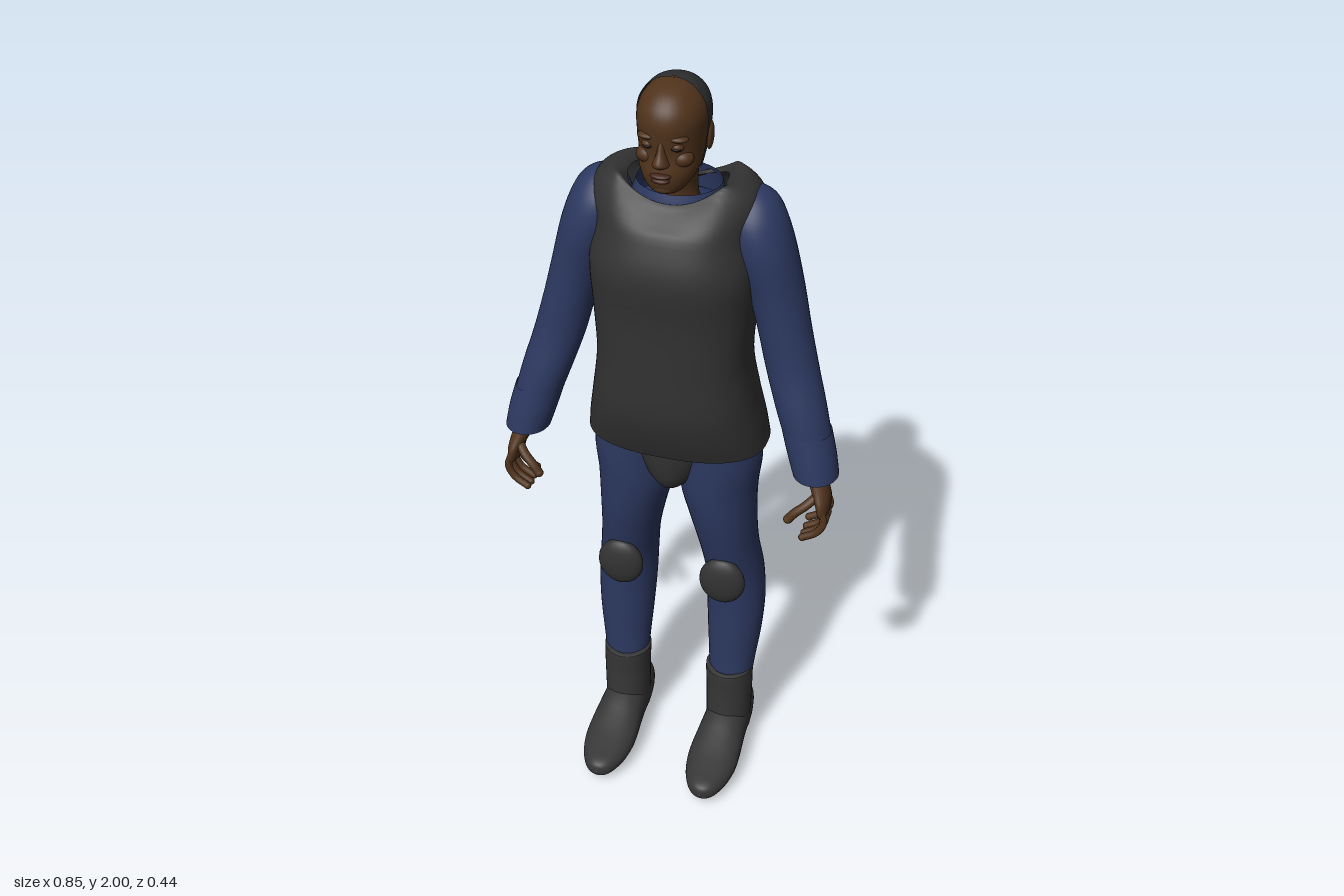
import * as THREE from 'three';

const mat = (name, color, side = THREE.FrontSide) => {
  const m = new THREE.MeshStandardMaterial({ color, side });
  m.name = name;
  return m;
};

// Smooth surface through sections [t, centreX, radiusX, zFront, zBack].
// square < 1 makes the rings boxier; from/to limit the angle (0 is the front).
function loft(sections, { square = 1, from = 0, to = Math.PI * 2, seg = 36, steps = 5, rule } = {}) {
  const rows = [];
  const at = (i) => sections[Math.max(0, Math.min(sections.length - 1, i))];
  for (let i = 0; i < sections.length - 1; i++) {
    for (let k = 0; k < steps; k++) {
      const u = k / steps;
      rows.push(at(i).map((p1, d) => {
        const p0 = at(i - 1)[d], p2 = at(i + 1)[d], p3 = at(i + 2)[d];
        return p1 + 0.5 * u * (p2 - p0 + u * (2 * p0 - 5 * p1 + 4 * p2 - p3 + u * (3 * (p1 - p2) + p3 - p0)));
      }));
    }
  }
  rows.push(sections[sections.length - 1]);
  const closed = to - from > 6.28;
  const cols = closed ? seg : seg + 1;
  const bend = (v) => Math.sign(v) * Math.abs(v) ** square;
  const pos = [], index = [];
  rows.forEach(([t, cx, rx, zf, zb], i) => {
    for (let j = 0; j < cols; j++) {
      const a = from + ((to - from) * j) / seg;
      const p = new THREE.Vector3(cx + rx * bend(Math.sin(a)), t, (zf + zb) / 2 + ((zf - zb) / 2) * bend(Math.cos(a)));
      if (rule) rule(p);
      pos.push(p.x, p.y, p.z);
    }
    if (i === 0) return;
    for (let j = 0; j < seg; j++) {
      const k = (j + 1) % cols, lo = (i - 1) * cols, hi = i * cols;
      index.push(lo + j, lo + k, hi + j, lo + k, hi + k, hi + j);
    }
  });
  const g = new THREE.BufferGeometry();
  g.setAttribute('position', new THREE.Float32BufferAttribute(pos, 3));
  g.setIndex(index);
  g.computeVertexNormals();
  return g;
}

export function createModel() {
  const model = new THREE.Group();
  model.name = 'standingFigure';
  const navy = mat('navy cloth', 0x2c3860, THREE.DoubleSide);
  const grey = mat('dark grey armour', 0x323232, THREE.DoubleSide);
  const boot = mat('boot grey', 0x363636);
  const skin = mat('brown skin', 0x50331c);
  const hairMat = mat('cropped hair', 0x2d2e2f, THREE.DoubleSide);
  const lipMat = mat('lips', 0x45281c);
  const eyeMat = mat('eyes', 0x1c130e);

  const add = (name, geometry, material, parent = model) => {
    const m = new THREE.Mesh(geometry, material);
    m.name = name;
    parent.add(m);
    return m;
  };
  const ball = (name, material, [x, y, z], [rx, ry, rz], parent) => {
    const m = add(name, new THREE.SphereGeometry(1, 24, 16), material, parent);
    m.position.set(x, y, z);
    m.scale.set(rx, ry, rz);
    return m;
  };
  const limb = (name, material, points, r, parent) => {
    const pts = points.map((p) => new THREE.Vector3(...p));
    add(name, new THREE.TubeGeometry(new THREE.CatmullRomCurve3(pts), 10, r, 10), material, parent);
    ball(name + 'Tip', material, points[points.length - 1], [r, r, r], parent);
  };

  // Vest with a dipped neckline and a groove down the back
  add('vest', loft([
    [1.035, 0, 0.228, 0.07, -0.215], [1.1, 0, 0.218, 0.095, -0.217], [1.18, 0, 0.203, 0.113, -0.205],
    [1.3, 0, 0.187, 0.115, -0.182], [1.43, 0, 0.194, 0.117, -0.19], [1.55, 0, 0.2, 0.127, -0.207],
    [1.64, 0, 0.187, 0.1, -0.207], [1.7, 0, 0.2, 0.068, -0.186], [1.74, 0, 0.19, 0.046, -0.158],
    [1.765, 0, 0.155, 0.035, -0.145], [1.755, 0, 0.115, 0.035, -0.142],
  ], {
    square: 0.8, seg: 64, rule: (p) => {
      const raised = Math.min(1, Math.max(0, (p.y - 1.66) / 0.1));
      if (p.z < -0.05 && p.y > 1.04) p.z += 0.018 * Math.exp(-((p.x / 0.03) ** 2));
      const mid = Math.max(0, 1 - (p.x / 0.12) ** 2);
      p.y -= 0.05 * mid * raised;
    },
  }), grey);

  // Shirt collar inside the vest
  add('collar', loft([
    [1.64, 0, 0.13, 0.04, -0.17], [1.7, 0, 0.112, 0.035, -0.16], [1.735, 0, 0.1, 0.025, -0.15],
  ]), navy);
  // Shirt yoke closing the neck opening
  add('shirtYoke', loft([
    [1.6, 0, 0.15, 0.05, -0.17], [1.67, 0, 0.12, 0.03, -0.15], [1.7, 0, 0.045, -0.01, -0.09],
  ]), navy);
  // Groin guard
  add('groinGuard', loft([
    [0.902, 0, 0.003, -0.03, -0.05], [0.91, 0, 0.035, 0.025, -0.14], [0.935, 0, 0.068, 0.048, -0.175],
    [0.98, 0, 0.098, 0.06, -0.198], [1.05, 0, 0.13, 0.066, -0.205], [1.1, 0, 0.14, 0.06, -0.2],
  ]), grey);

  // Head
  const head = new THREE.Group();
  head.name = 'head';
  model.add(head);
  const skull = [
    [1.757, 0, 0.002, 0.05, 0.035], [1.761, 0, 0.032, 0.07, 0.0], [1.78, 0, 0.052, 0.081, -0.03],
    [1.81, 0, 0.068, 0.086, -0.075], [1.85, 0, 0.074, 0.08, -0.106], [1.89, 0, 0.078, 0.084, -0.12],
    [1.925, 0, 0.079, 0.086, -0.122], [1.955, 0, 0.071, 0.076, -0.112], [1.98, 0, 0.052, 0.052, -0.088],
    [1.994, 0, 0.029, 0.02, -0.055], [1.998, 0, 0.001, -0.017, -0.018],
  ];
  add('face', loft(skull, { square: 0.94 }), skin, head);
  const cap = skull.slice(3).map(([y, x, rx, f, b]) => [y + (y > 1.95 ? 0.002 : 0), x, rx + 0.003, f + 0.003, b - 0.003]);
  add('hair', loft(cap, { square: 0.94, from: Math.PI * 0.46, to: Math.PI * 1.54 }), hairMat, head);
  add('neck', loft([
    [1.66, 0, 0.058, 0.0, -0.11], [1.72, 0, 0.046, -0.005, -0.098], [1.78, 0, 0.05, 0.01, -0.095],
    [1.83, 0, 0.055, 0.02, -0.09],
  ]), skin, head);
  add('nose', loft([
    [1.828, 0, 0.004, 0.09, 0.07], [1.835, 0, 0.019, 0.102, 0.06], [1.845, 0, 0.017, 0.107, 0.06],
    [1.865, 0, 0.01, 0.094, 0.06], [1.885, 0, 0.008, 0.085, 0.06], [1.9, 0, 0.004, 0.08, 0.06],
  ], { seg: 16 }), skin, head);
  ball('upperLip', lipMat, [0, 1.811, 0.085], [0.024, 0.006, 0.013], head);
  ball('lowerLip', lipMat, [0, 1.8, 0.084], [0.021, 0.007, 0.013], head);
  ball('chin', skin, [0, 1.774, 0.064], [0.026, 0.015, 0.016], head);

  for (const s of [1, -1]) {
    const side = s > 0 ? 'left' : 'right';
    // Eyes, brows and ears
    ball(side + 'Eyelid', skin, [s * 0.032, 1.877, 0.066], [0.016, 0.011, 0.014], head);
    ball(side + 'Eye', eyeMat, [s * 0.032, 1.875, 0.075], [0.012, 0.0035, 0.0065], head);
    ball(side + 'Brow', skin, [s * 0.033, 1.897, 0.066], [0.025, 0.008, 0.017], head);
    ball(side + 'Cheek', skin, [s * 0.04, 1.845, 0.05], [0.026, 0.02, 0.024], head);
    ball(side + 'Ear', skin, [s * 0.08, 1.868, -0.03], [0.008, 0.033, 0.019], head).rotation.x = -0.15;

    const tube = (name, material, rows, options) =>
      add(side + name, loft(rows.map(([y, x, ...r]) => [y, s * x, ...r]), options), material);

    // Sleeve and cuff
    tube('Sleeve', navy, [
      [1.03, 0.37, 0.05, 0.072, -0.04], [1.1, 0.352, 0.056, 0.066, -0.048], [1.2, 0.322, 0.062, 0.054, -0.066],
      [1.3, 0.291, 0.064, 0.036, -0.085], [1.4, 0.265, 0.064, 0.03, -0.102], [1.5, 0.238, 0.068, 0.03, -0.12],
      [1.6, 0.206, 0.076, 0.038, -0.13], [1.67, 0.185, 0.074, 0.028, -0.128], [1.715, 0.18, 0.055, 0.0, -0.112],
      [1.738, 0.18, 0.025, -0.03, -0.085], [1.742, 0.18, 0.001, -0.055, -0.06],
    ]);
    tube('Cuff', navy, [
      [1.035, 0.37, 0.056, 0.08, -0.046], [1.09, 0.356, 0.06, 0.072, -0.05], [1.15, 0.339, 0.061, 0.062, -0.058],
    ]);

    // Hand
    const hand = new THREE.Group();
    hand.name = side + 'Hand';
    model.add(hand);
    add(side + 'Palm', loft([
      [0.938, s * 0.4, 0.004, 0.06, 0.02], [0.945, s * 0.4, 0.014, 0.084, -0.008], [0.975, s * 0.396, 0.019, 0.084, -0.01],
      [1.005, s * 0.386, 0.023, 0.068, -0.004], [1.04, s * 0.373, 0.026, 0.052, -0.01], [1.07, s * 0.365, 0.026, 0.045, -0.015],
    ], { seg: 20 }), skin, hand);
    for (let i = 0; i < 4; i++) {
      const z = 0.001 + i * 0.0245;
      const low = [0.012, 0.002, 0, 0.004][i];
      limb(side + 'Finger' + (i + 1), skin, [
        [s * 0.4, 0.96, z], [s * 0.408, 0.925 + low, z + 0.002],
        [s * 0.392, 0.895 + low, z + 0.004], [s * 0.358, 0.874 + low, z + 0.006],
      ], 0.0095, hand);
    }
    limb(side + 'Thumb', skin, [
      [s * 0.388, 0.995, 0.05], [s * 0.362, 0.972, 0.074], [s * 0.338, 0.952, 0.084], [s * 0.322, 0.932, 0.088],
    ], 0.0115, hand);

    // Trouser leg and knee pad
    tube('Leg', navy, [
      [0.2, 0.147, 0.056, -0.015, -0.125], [0.3, 0.15, 0.064, -0.02, -0.14], [0.4, 0.152, 0.073, -0.02, -0.163],
      [0.5, 0.151, 0.078, -0.02, -0.182], [0.6, 0.145, 0.077, -0.014, -0.185], [0.7, 0.133, 0.077, 0.01, -0.167],
      [0.8, 0.12, 0.086, 0.032, -0.164], [0.9, 0.108, 0.099, 0.045, -0.17], [1.0, 0.109, 0.106, 0.05, -0.178],
      [1.12, 0.1, 0.095, 0.05, -0.165],
    ]);
    ball(side + 'KneePad', grey, [s * 0.138, 0.62, 0.003], [0.061, 0.07, 0.028]);

    // Boot shaft and foot
    tube('BootShaft', boot, [
      [0.05, 0.147, 0.06, 0.005, -0.14], [0.14, 0.147, 0.062, 0.0, -0.136], [0.2, 0.147, 0.063, -0.002, -0.133],
      [0.262, 0.146, 0.064, 0.0, -0.136], [0.27, 0.146, 0.062, -0.004, -0.134], [0.272, 0.146, 0.05, -0.015, -0.12],
    ]);
    const foot = [
      [-0.187, 0.002, 0.085, 0.075], [-0.18, 0.03, 0.115, 0.04], [-0.155, 0.05, 0.134, 0.018], [-0.1, 0.06, 0.141, 0.004],
      [-0.04, 0.061, 0.14, 0], [0.01, 0.064, 0.128, 0.004], [0.06, 0.068, 0.108, 0.012], [0.11, 0.068, 0.09, 0.014],
      [0.16, 0.058, 0.077, 0.014], [0.2, 0.039, 0.068, 0.016], [0.217, 0.02, 0.058, 0.024], [0.222, 0.001, 0.043, 0.039],
    ];
    const footGeometry = loft(foot.map(([z, r, top, low]) => [z, s * 0.147, r, -low, -top]), { square: 0.9 });
    add(side + 'Foot', footGeometry.rotateX(Math.PI / 2), boot);
  }
  return model;
}
